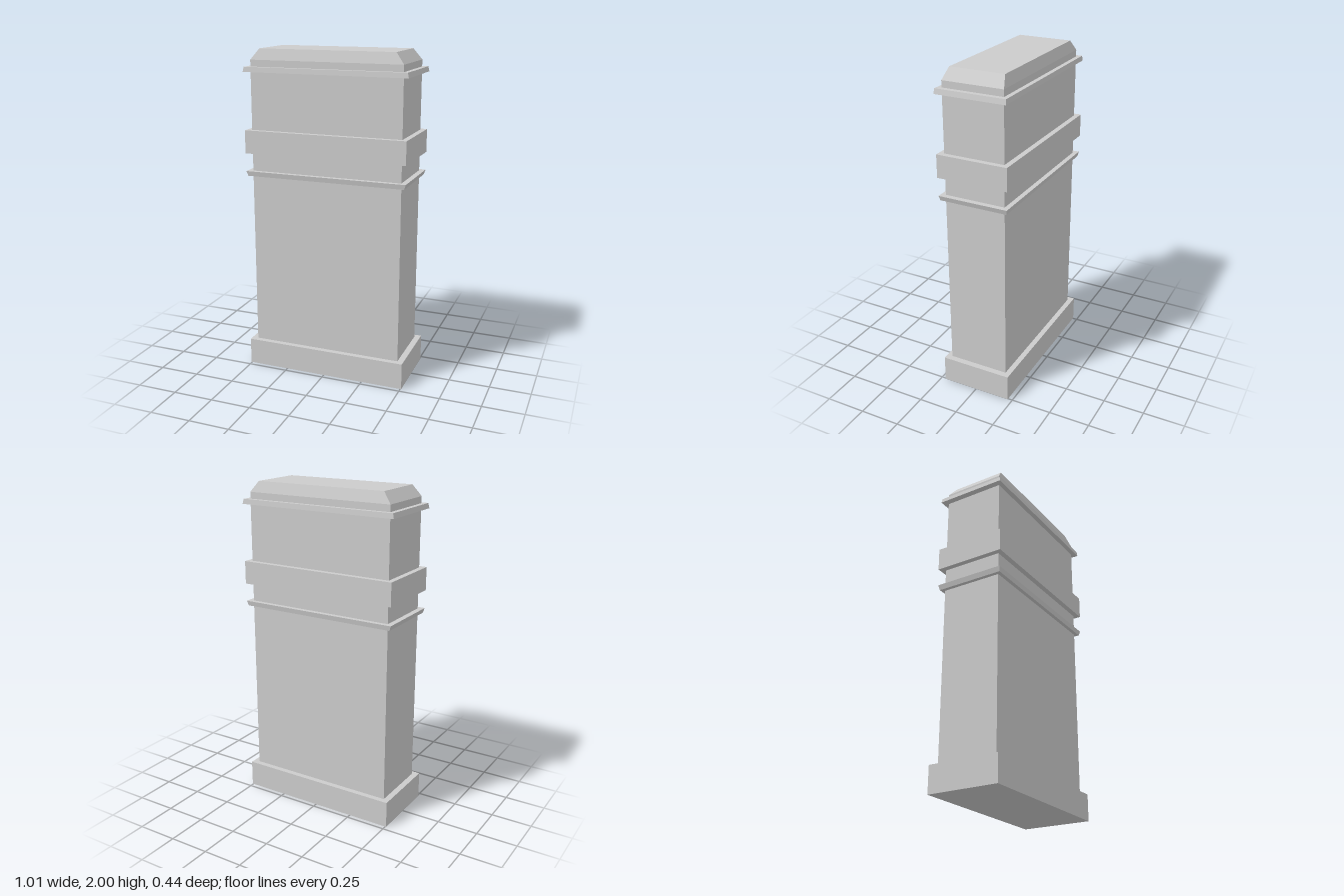
import * as THREE from 'three';

const material = new THREE.MeshStandardMaterial({ color: 0xcccccc, flatShading: true });

// Rectangular block from y0 to y1 with separate bottom and top half-sizes [x, z]
function block(name, y0, y1, bottom, top = bottom) {
  const geometry = new THREE.BoxGeometry(2, 1, 2);
  const p = geometry.attributes.position;
  for (let i = 0; i < p.count; i++) {
    const upper = p.getY(i) > 0;
    const [hx, hz] = upper ? top : bottom;
    p.setXYZ(i, p.getX(i) * hx, upper ? y1 : y0, p.getZ(i) * hz);
  }
  geometry.computeVertexNormals();
  const mesh = new THREE.Mesh(geometry, material);
  mesh.name = name;
  return mesh;
}

export function createModel() {
  const group = new THREE.Group();
  group.name = 'pillar';
  const shaft = [0.469, 0.188];

  group.add(
    block('plinth', 0, 0.163, [0.506, 0.221]),
    block('shaft', 0.163, 1.935, shaft),
    // Trim bands around the shaft
    block('lowerMoulding', 1.24, 1.27, [0.492, 0.211], [0.502, 0.217]),
    block('wideBand', 1.38, 1.52, [0.502, 0.22]),
    block('upperMoulding', 1.865, 1.895, [0.506, 0.218], [0.499, 0.215]),
    // Bevelled cap
    block('cap', 1.935, 2, shaft, [0.418, 0.168])
  );
  return group;
}
